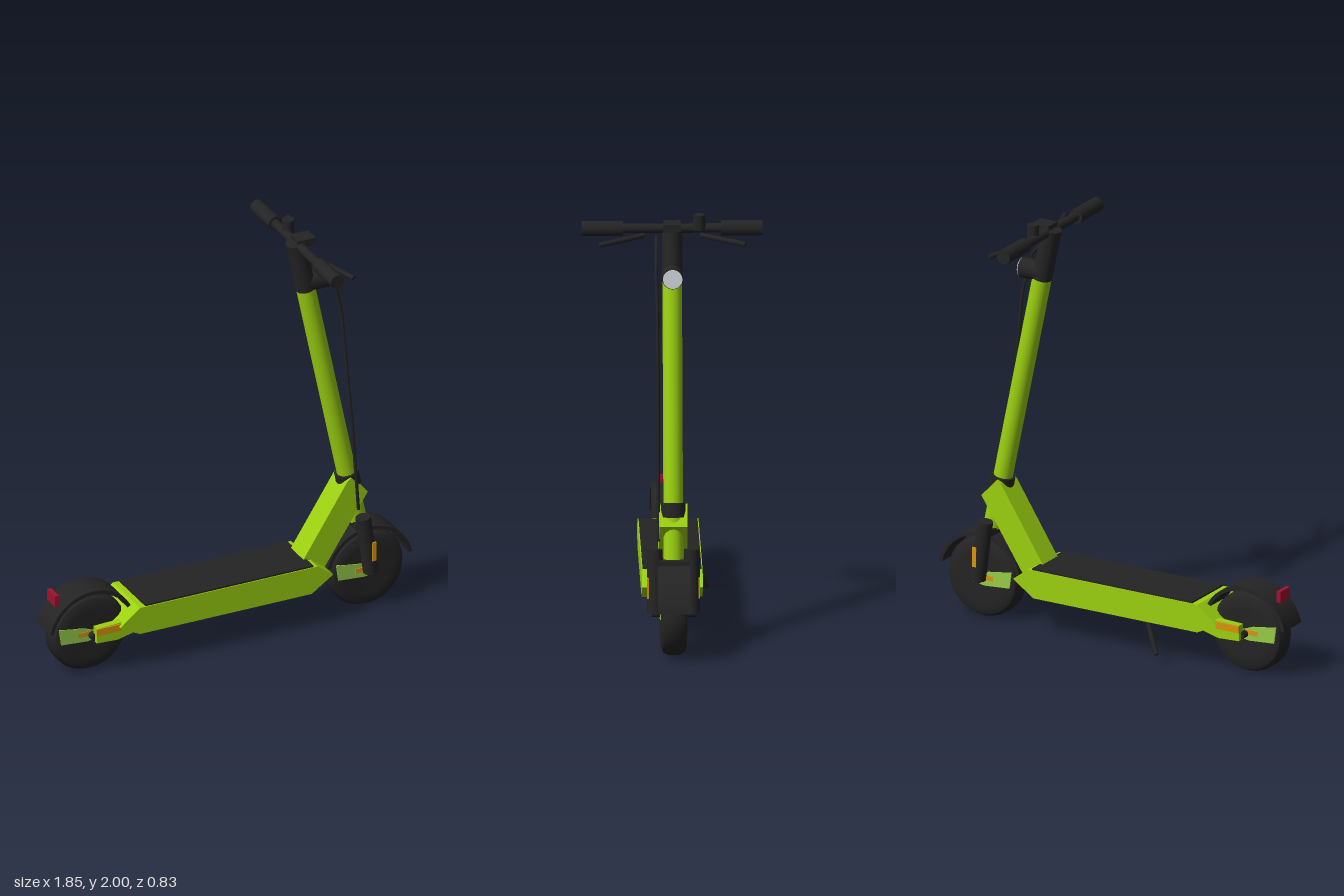
import * as THREE from 'three';
import { toCreasedNormals } from 'three/addons/utils/BufferGeometryUtils.js';

const mat = (name, color, side = THREE.FrontSide) => {
  const m = new THREE.MeshStandardMaterial({ color, side });
  m.name = name;
  return m;
};

export function createModel() {
  const root = new THREE.Group();
  root.name = 'scooter';
  const green = mat('frame green', 0x9bd010);
  const lime = mat('wheel panel green', 0x98cc48);
  const black = mat('black', 0x242424);
  const orange = mat('reflector orange', 0xd9950f);
  const red = mat('tail light red', 0xa01030);
  const white = mat('lamp lens', 0xdfe4ea);

  const add = (name, geo, m, x = 0, y = 0, z = 0) => {
    const mesh = new THREE.Mesh(geo, m);
    mesh.name = name;
    mesh.position.set(x, y, z);
    root.add(mesh);
    return mesh;
  };
  const box = (name, m, sx, sy, sz, x, y, z) =>
    add(name, new THREE.BoxGeometry(sx, sy, sz), m, x, y, z);
  // Cylinder from point a to point b
  const rod = (name, m, a, b, r, sides = 20, r2 = r) => {
    const p = new THREE.Vector3(...a), q = new THREE.Vector3(...b);
    const d = q.clone().sub(p);
    const mesh = add(name, new THREE.CylinderGeometry(r2, r, d.length(), sides), m);
    mesh.position.copy(p).add(q).multiplyScalar(0.5);
    mesh.quaternion.setFromUnitVectors(new THREE.Vector3(0, 1, 0), d.normalize());
    return mesh;
  };
  // Side outline in x and y, extruded across z and centred at z
  const slab = (name, m, pts, width, z = 0) => {
    const shape = new THREE.Shape(pts.map(([x, y]) => new THREE.Vector2(x, y)));
    const geo = new THREE.ExtrudeGeometry(shape, { depth: width, bevelEnabled: false });
    return add(name, geo.translate(0, 0, -width / 2), m, 0, 0, z);
  };

  // Deck and grip mat
  slab('deck', green, [[-0.6, 0.235], [-0.54, 0.2], [-0.5, 0.18], [0.38, 0.18], [0.49, 0.255],
    [0.41, 0.315], [-0.5, 0.315]], 0.28);
  box('gripMat', black, 0.86, 0.01, 0.27, -0.04, 0.318, 0);

  // Sloping neck between deck and steering head
  slab('neck', green, [[0.36, 0.3], [0.48, 0.255], [0.705, 0.6], [0.62, 0.69], [0.6, 0.675]], 0.13);

  // Steering column, all on one leaning axis
  const axisX = (y) => 0.417 + (1.7 - y) * 0.208;
  const onAxis = (y) => [axisX(y), y, 0];
  rod('steeringTube', green, onAxis(0.66), onAxis(1.72), 0.045, 24);
  rod('headCollar', black, onAxis(0.63), onAxis(0.695), 0.057, 24);
  rod('lowerHeadTube', green, onAxis(0.44), onAxis(0.64), 0.046, 24);
  rod('stemHead', black, onAxis(1.695), onAxis(1.945), 0.047, 24);

  // Wheels with rounded tyres, side panels and fenders
  const R = 0.192;
  const tyre = [[0.001, -0.055], [0.12, -0.06], [0.155, -0.06], [0.178, -0.05], [R, -0.025],
    [R, 0.025], [0.178, 0.05], [0.155, 0.06], [0.12, 0.06], [0.001, 0.055]]
    .map(([x, y]) => new THREE.Vector2(x, y));
  const tyreGeo = toCreasedNormals(new THREE.LatheGeometry(tyre, 28).rotateX(Math.PI / 2), 0.6);
  const fender = (name, cx, from, to) => {
    const s = new THREE.Shape();
    s.absarc(0, 0, 0.222, from, to, false);
    s.absarc(0, 0, 0.204, to, from, true);
    const geo = new THREE.ExtrudeGeometry(s, { depth: 0.15, bevelEnabled: false, curveSegments: 18 });
    add(name, geo.translate(0, 0, -0.075), black, cx, 0.197, 0);
  };
  for (const [end, cx] of [['rear', -0.71], ['front', 0.71]]) {
    add(end + 'Wheel', tyreGeo, black, cx, R, 0);
    for (const s of [1, -1]) {
      slab(end + 'WheelPanel', lime, [[cx - 0.165, 0.25], [cx - 0.155, 0.17], [cx - 0.02, 0.16],
        [cx + 0.04, 0.17], [cx + 0.04, 0.2], [cx - 0.04, 0.23]], 0.006, s * 0.06);
      box(end + 'WheelReflector', orange, 0.065, 0.022, 0.004, cx - 0.035, 0.2, s * 0.064);
    }
    rod(end + 'Axle', black, [cx, R, -0.1], [cx, R, 0.1], 0.018, 12);
  }
  fender('rearFender', -0.71, 0.5, 2.93);
  fender('frontFender', 0.71, 0.22, 2.9);
  box('tailLight', red, 0.02, 0.055, 0.085, -0.877, 0.393, 0);

  for (const s of [1, -1]) {
    // Rear arms with reflectors
    slab('rearArm', green, [[-0.71, 0.17], [-0.6, 0.165], [-0.5, 0.19], [-0.5, 0.28], [-0.58, 0.25],
      [-0.71, 0.245]], 0.036, s * 0.1);
    box('rearArmReflector', orange, 0.125, 0.034, 0.008, -0.65, 0.228, s * 0.121);

    // Front fork legs with reflectors
    rod('forkLeg', black, [0.71, 0.195, s * 0.085], [0.67, 0.485, s * 0.085], 0.036, 16);
    box('forkReflector', orange, 0.022, 0.095, 0.008, 0.71, 0.312, s * 0.118);

    // Grips and brake levers
    rod('grip', black, [0.375, 1.932, s * 0.225], [0.375, 1.932, s * 0.415], 0.035, 20);
    rod('brakeLever', black, [0.41, 1.908, s * 0.13], [0.498, 1.886, s * 0.335], 0.012, 8);
  }
  box('forkCrown', black, 0.07, 0.03, 0.15, 0.68, 0.425, 0);

  // Handlebar, display and thumb control
  rod('handlebar', black, [0.375, 1.932, -0.24], [0.375, 1.932, 0.24], 0.022, 16);
  box('display', black, 0.09, 0.035, 0.08, 0.405, 1.95, 0);
  rod('thumbControl', black, [0.39, 1.93, -0.125], [0.39, 2.0, -0.125], 0.028, 16);

  // Headlamp
  rod('headlamp', black, [0.41, 1.728, 0], [0.522, 1.728, 0], 0.048, 16);
  rod('headlampLens', white, [0.52, 1.728, 0], [0.527, 1.728, 0], 0.045, 16);

  // Brake cable
  const cable = new THREE.CurvePath();
  const pts = [[0.4, 1.9, 0.072], [0.52, 1.77, 0.076], [0.567, 1.57, 0.07], [0.62, 1.0, 0.068],
    [0.655, 0.52, 0.068]].map((p) => new THREE.Vector3(...p));
  for (let i = 1; i < pts.length; i++) cable.add(new THREE.LineCurve3(pts[i - 1], pts[i]));
  add('brakeCable', new THREE.TubeGeometry(cable, 40, 0.008, 8), black);

  // Kickstand
  rod('kickstand', black, [-0.21, 0.19, -0.112], [-0.302, 0.045, -0.174], 0.012, 10);

  return root;
}
